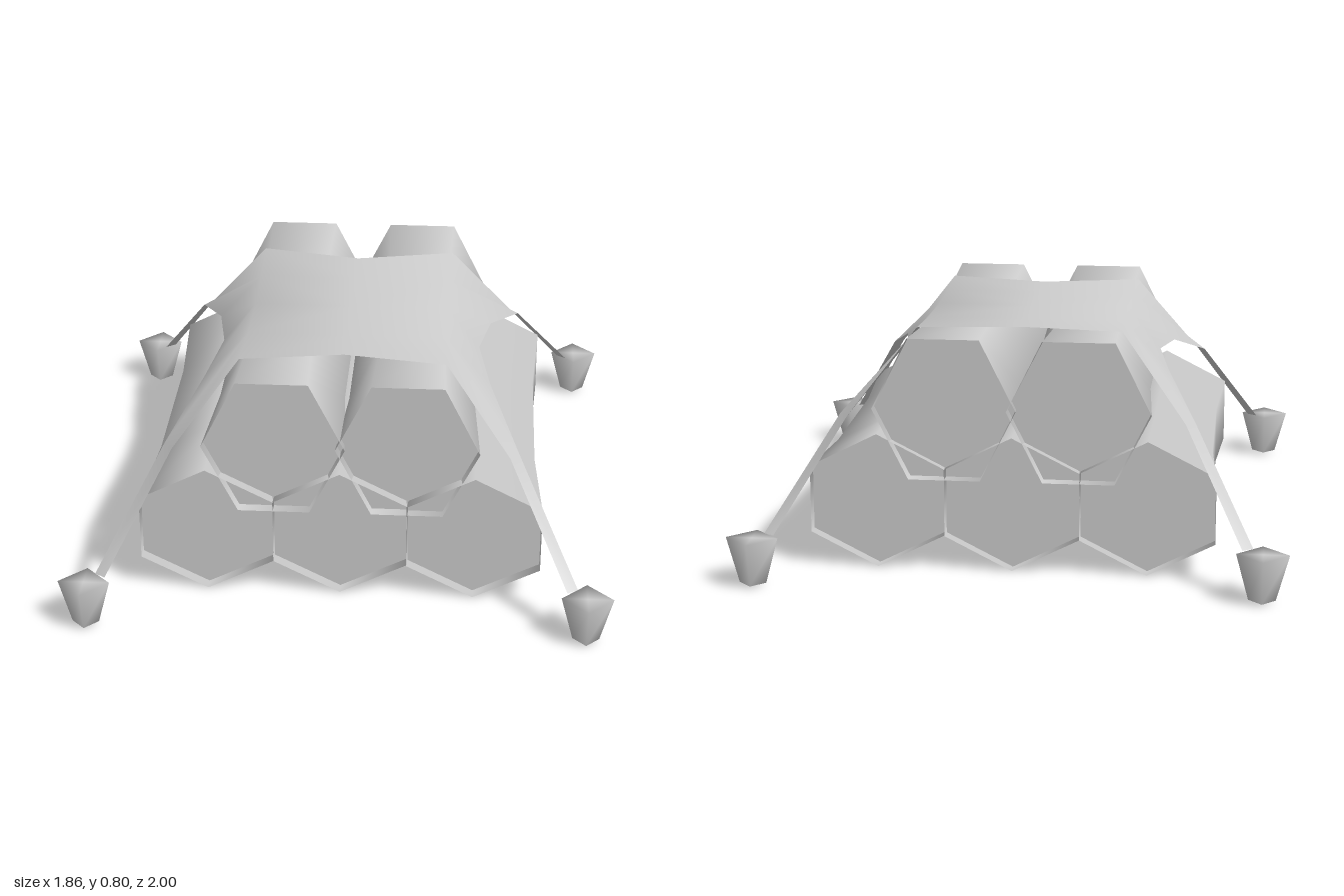
import * as THREE from 'three';
import { mergeVertices } from 'three/addons/utils/BufferGeometryUtils.js';

const grey = new THREE.MeshStandardMaterial({ color: 0xcccccc, side: THREE.DoubleSide });
grey.name = 'plain grey';

const LENGTH = 1.36, WAIST_Z = 0.3, WAIST = 0.9, RECESS = 0.04;

// Six-sided log along z with a slightly narrower middle and end faces set back inside the bark
function makeLog(name, x, y, z, rx, ry, turn) {
  const log = new THREE.Group();
  log.name = name;
  log.position.set(x, y, z);

  const g = new THREE.CylinderGeometry(1, 1, 2, 6, 3, true).rotateX(Math.PI / 2).rotateZ(turn);
  const p = g.attributes.position;
  for (let i = 0; i < p.count; i++) {
    const end = Math.abs(p.getZ(i)) > 0.9;
    const s = end ? 1 : WAIST;
    p.setXYZ(i, p.getX(i) * rx * s, p.getY(i) * ry * s, Math.sign(p.getZ(i)) * (end ? LENGTH / 2 : WAIST_Z));
  }
  const bark = new THREE.Mesh(g, grey);
  bark.name = 'bark';
  log.add(bark);

  const fit = 1 - (1 - WAIST) * RECESS / (LENGTH / 2 - WAIST_Z);
  for (const side of [1, -1]) {
    const face = new THREE.CircleGeometry(1, 6).rotateZ(turn + Math.PI / 6).scale(rx * fit, ry * fit, 1);
    if (side < 0) face.rotateY(Math.PI);
    face.translate(0, 0, side * (LENGTH / 2 - RECESS));
    const mesh = new THREE.Mesh(face, grey);
    mesh.name = 'endFace';
    log.add(mesh);
  }
  return log;
}

// One quarter of the sheet, running out into its tie strap
const sheetPoints = [
  [0, 0.778, 0], [0.343, 0.779, 0], [0.46, 0.63, 0],                     // middle row
  [0, 0.778, 0.24], [0.345, 0.78, 0.24], [0.5, 0.61, 0.24],              // second row
  [0, 0.786, 0.402], [0.352, 0.79, 0.465],                               // outer edge
  [0.575, 0.505, 0.59], [0.605, 0.505, 0.555],                           // corner
  [0.775, 0.165, 0.885], [0.81, 0.165, 0.86],                            // strap end
];
const sheetFaces = [
  [0, 3, 4], [0, 4, 1], [1, 4, 5], [1, 5, 2], [3, 6, 7], [3, 7, 4],
  [4, 7, 8], [4, 8, 9], [4, 9, 5], [8, 10, 11], [8, 11, 9],
];

// Four mirrored quarters joined into one smooth sheet
function makeSheet() {
  const points = [], index = [];
  for (const sx of [-1, 1]) {
    for (const sz of [-1, 1]) {
      const base = points.length / 3;
      for (const [x, y, z] of sheetPoints) points.push(x * sx, y, z * sz);
      // Mirroring one axis reverses the corner order
      for (const [a, b, c] of sheetFaces) {
        index.push(base + a, base + (sx * sz > 0 ? b : c), base + (sx * sz > 0 ? c : b));
      }
    }
  }
  let g = new THREE.BufferGeometry();
  g.setAttribute('position', new THREE.Float32BufferAttribute(points, 3));
  g.setIndex(index);
  g = mergeVertices(g);
  g.computeVertexNormals();
  const mesh = new THREE.Mesh(g, grey);
  mesh.name = 'coverSheet';
  return mesh;
}

// Tapered square peg with soft shading over its corners
function makePegGeometry() {
  let g = new THREE.CylinderGeometry(0.087, 0.045, 0.155, 4);
  g.deleteAttribute('normal');
  g.deleteAttribute('uv');
  g = mergeVertices(g);
  g.computeVertexNormals();
  return g;
}

export function createModel() {
  const model = new THREE.Group();
  model.name = 'coveredLogPile';

  // Bottom row of three, pointed side up
  [[-0.455, -0.01], [0.002, -0.01], [0.46, -0.005]].forEach(([x, z]) =>
    model.add(makeLog('lowerLog', x, 0.235, z, 0.264, 0.233, 0)));

  // Top row of two, flat side up
  [-0.223, 0.23].forEach((x) =>
    model.add(makeLog('upperLog', x, 0.558, -0.013, 0.243, 0.28, Math.PI / 6)));

  // Draped sheet and its four pegs
  model.add(makeSheet());
  const peg = makePegGeometry();
  for (const sx of [-1, 1]) {
    for (const sz of [-1, 1]) {
      const mesh = new THREE.Mesh(peg, grey);
      mesh.name = 'peg';
      mesh.position.set(sx * 0.842, 0.086, sz * 0.913);
      model.add(mesh);
    }
  }
  return model;
}
